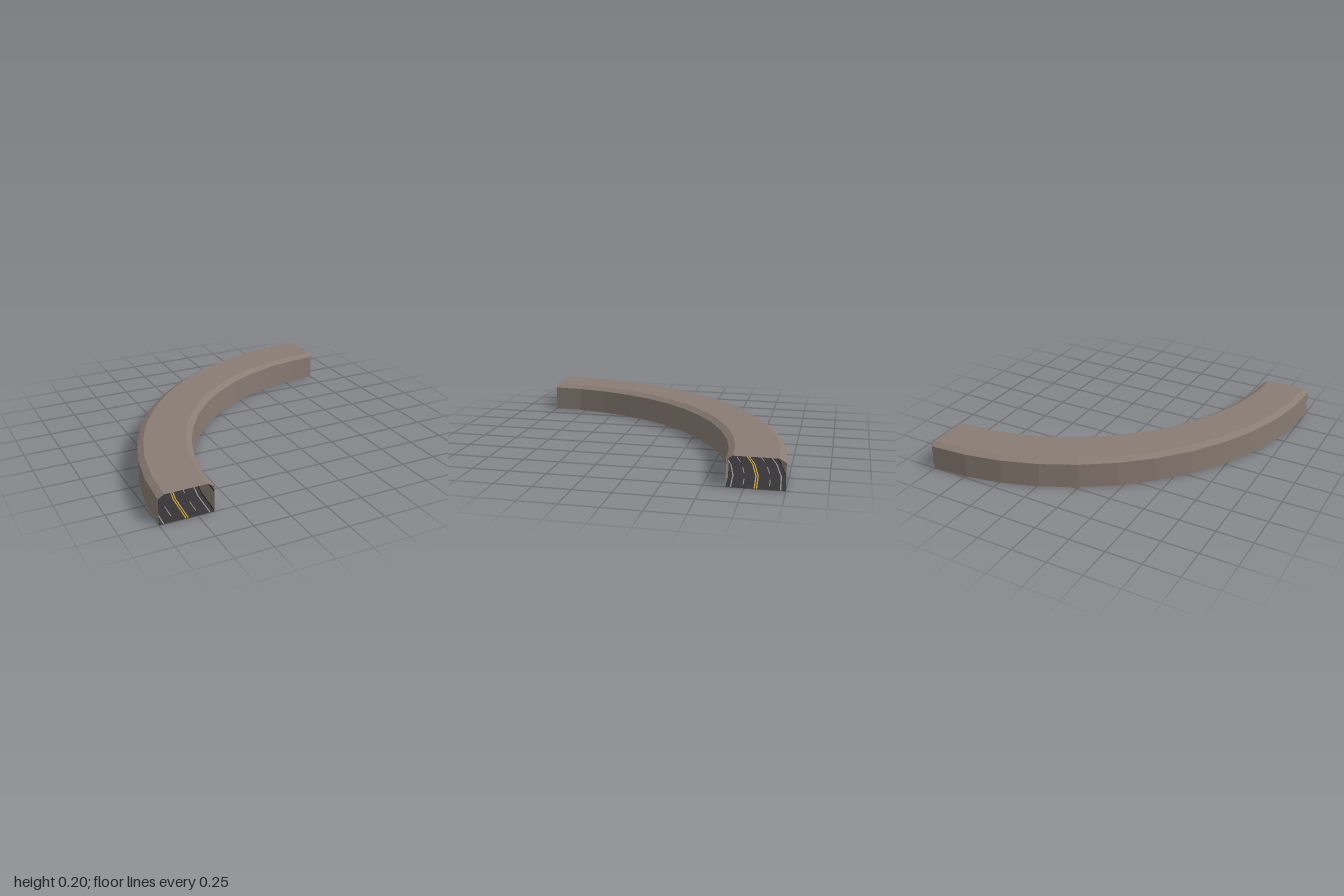
import * as THREE from 'three';

const SEGMENTS = 12;
const R_IN = 1.64, R_OUT = 2, HEIGHT = 0.2, SHOULDER = 0.175, BEVEL = 0.04;

function material(name, color) {
  return new THREE.MeshStandardMaterial({ name, color, side: THREE.DoubleSide });
}

// Sweep a [radius, y] profile round part of the quarter bend, with flat facets
function sweep(name, profile, mat, start = 0, span = Math.PI / 2, segments = SEGMENTS) {
  const points = profile.map(([r, y]) => new THREE.Vector2(r, y));
  const geometry = new THREE.LatheGeometry(points, segments, Math.PI + start, span).toNonIndexed();
  geometry.computeVertexNormals();
  const mesh = new THREE.Mesh(geometry, mat);
  mesh.name = name;
  return mesh;
}

export function createModel() {
  const concrete = material('concrete', 0x897c73);
  const asphalt = material('asphalt', 0x363436);
  const trim = material('darkTrim', 0x1c1b1b);
  const yellow = material('yellowPaint', 0xc09a30);
  const grey = material('greyPaint', 0x8c8c8c);

  const tunnel = new THREE.Group();
  tunnel.name = 'curvedTunnel';

  // Open-ended shell: two walls, bevelled shoulders and roof
  tunnel.add(sweep('tunnelShell', [
    [R_OUT, 0], [R_OUT, SHOULDER], [R_OUT - BEVEL, HEIGHT],
    [R_IN + BEVEL, HEIGHT], [R_IN, SHOULDER], [R_IN, 0],
  ], concrete));

  // Roadway floor
  tunnel.add(sweep('roadFloor', [[R_IN, 0], [R_OUT, 0]], asphalt));

  // Dark bands along the inside of both walls
  for (const [side, r] of [['outer', R_OUT - 0.003], ['inner', R_IN + 0.003]]) {
    tunnel.add(sweep(side + 'WallStripe', [[r, 0.14], [r, 0.15]], trim));
    tunnel.add(sweep(side + 'WallBase', [[r, 0.006], [r, 0.015]], trim));
  }

  // Double yellow centre line and grey edge lines
  const mid = (R_IN + R_OUT) / 2;
  for (const s of [-1, 1]) {
    const centre = mid + s * 0.007, edge = mid + s * 0.15;
    tunnel.add(sweep('centreLine', [[centre - 0.004, 0.003], [centre + 0.004, 0.003]], yellow));
    tunnel.add(sweep('edgeLine', [[edge - 0.004, 0.003], [edge + 0.004, 0.003]], grey));
  }

  // Lane dashes, one per facet on each side
  const step = Math.PI / 2 / SEGMENTS;
  for (let i = 0; i < SEGMENTS; i++) {
    for (const s of [-1, 1]) {
      const r = mid + s * 0.08;
      tunnel.add(sweep('laneDash', [[r - 0.003, 0.003], [r + 0.003, 0.003]], grey,
        (i + 0.25) * step, step * 0.5, 1));
    }
  }

  // Put the bend's centre at the corner so the model is centred
  tunnel.position.set(1, 0, 1);
  const model = new THREE.Group();
  model.name = 'tunnelBend';
  model.add(tunnel);
  return model;
}
